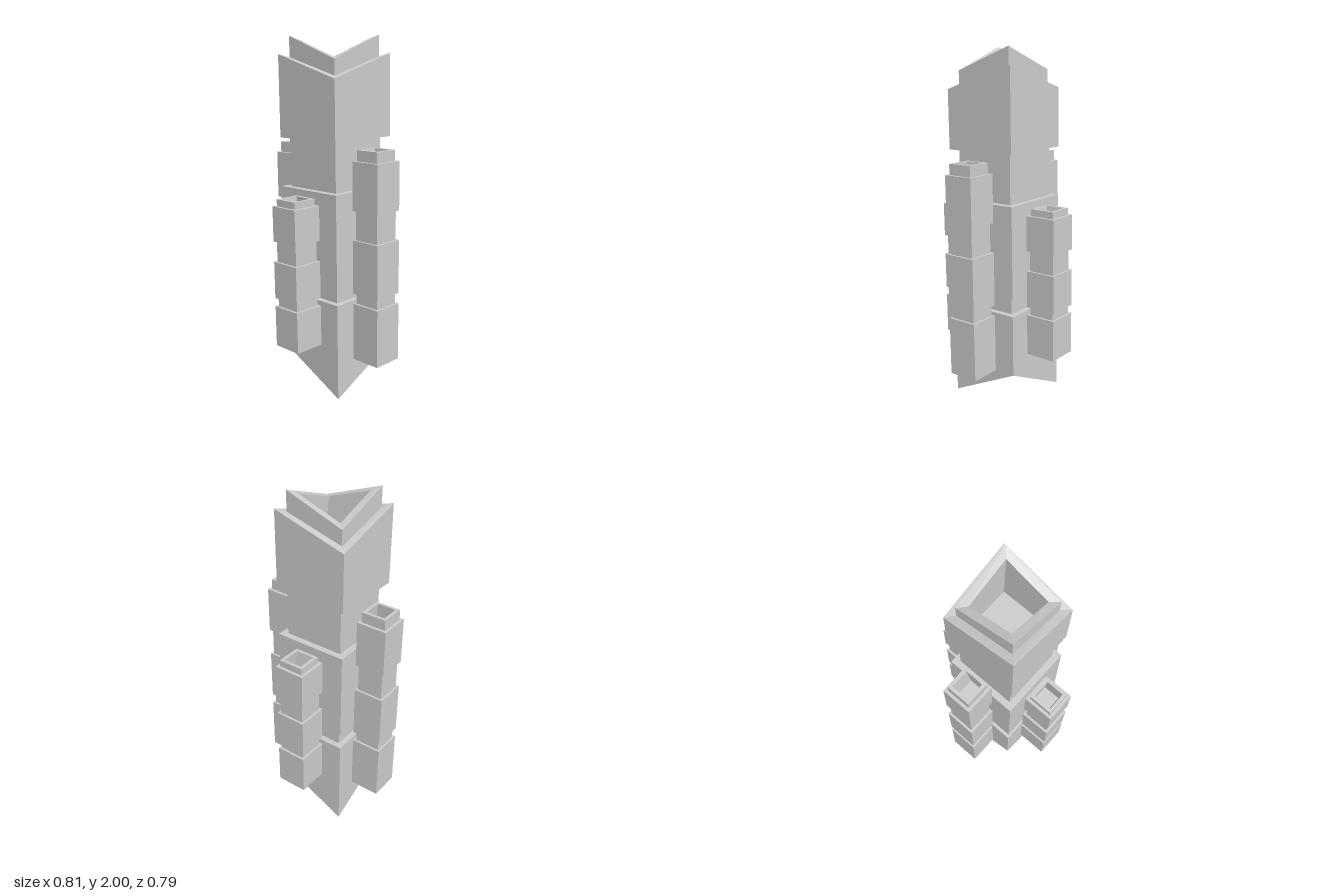
import * as THREE from 'three';

const material = new THREE.MeshStandardMaterial({ color: 0xcccccc, flatShading: true });

// Square cross-section; low = front-left and back-right heights, high = the other two corners
function ring(half, low, high = low, dx = 0, dz = 0) {
  return [[-1, 1], [1, 1], [1, -1], [-1, -1]].map(([sx, sz], i) =>
    [dx + sx * half, i % 2 ? high : low, dz + sz * half]);
}

// Joins successive square rings and closes both ends
function loft(name, rings) {
  const pos = [];
  const tri = (a, b, c) => pos.push(...a, ...b, ...c);
  for (let k = 0; k + 1 < rings.length; k++) {
    const a = rings[k], b = rings[k + 1];
    for (let i = 0; i < 4; i++) {
      const j = (i + 1) % 4;
      if (i % 2) { // fold runs from the raised corner of the lower ring
        tri(a[i], a[j], b[j]);
        tri(a[i], b[j], b[i]);
      } else {
        tri(a[i], a[j], b[i]);
        tri(a[j], b[j], b[i]);
      }
    }
  }
  const s = rings[0], e = rings[rings.length - 1];
  tri(s[1], s[0], s[3]);
  tri(s[3], s[2], s[1]);
  tri(e[0], e[1], e[3]);
  tri(e[1], e[2], e[3]);
  const geometry = new THREE.BufferGeometry();
  geometry.setAttribute('position', new THREE.Float32BufferAttribute(pos, 3));
  geometry.computeVertexNormals();
  const mesh = new THREE.Mesh(geometry, material);
  mesh.name = name;
  return mesh;
}

// Side tower: wide blocks separated by narrow necks, topped by a hollow rim
function sideTower(name, x, z, heights, holeShift) {
  const wide = 0.089, neck = 0.076;
  const rings = [];
  for (let i = 0; i < 5; i++) {
    const half = i % 2 ? neck : wide;
    rings.push(ring(half, heights[i]), ring(half, heights[i + 1]));
  }
  const top = heights[6];
  rings.push(
    ring(0.072, heights[5]), ring(0.072, top),
    ring(0.054, top), ring(0.05, top - 0.15, top - 0.15, holeShift, 0.016));
  const tower = loft(name, rings);
  tower.position.set(x, 0, z);
  return tower;
}

export function createModel() {
  const model = new THREE.Group();
  model.name = 'tower';

  // Whole structure leans very slightly
  const body = new THREE.Group();
  body.name = 'leaningBody';
  body.position.x = 0.01;
  body.rotation.z = 0.0165;
  model.add(body);

  // Main tower with folded underside, two necks, stepped folded crown and a pit
  body.add(loft('mainTower', [
    ring(0.213, 0.005, 0.21), ring(0.213, 0.557),
    ring(0.18, 0.557), ring(0.18, 0.66),
    ring(0.215, 0.66), ring(0.215, 1.172),
    ring(0.178, 1.172), ring(0.178, 1.448),
    ring(0.216, 1.448), ring(0.216, 1.777, 1.902),
    ring(0.172, 1.79, 1.885), ring(0.172, 1.875, 1.998),
    ring(0.129, 1.885, 1.975), ring(0.113, 1.62, 1.62, 0.026, 0.018),
  ]));

  // Taller towers at front and back, shorter ones left and right
  const tall = [0.21, 0.54, 0.6, 0.905, 1.07, 1.34, 1.4];
  const short = [0.3, 0.533, 0.58, 0.79, 0.905, 1.102, 1.14];
  body.add(
    sideTower('frontTower', 0, 0.305, tall, -0.01),
    sideTower('backTower', 0, -0.308, tall, -0.01),
    sideTower('leftTower', 0.3075, 0, short, 0.02),
    sideTower('rightTower', -0.3075, 0, short, 0.02));

  return model;
}
